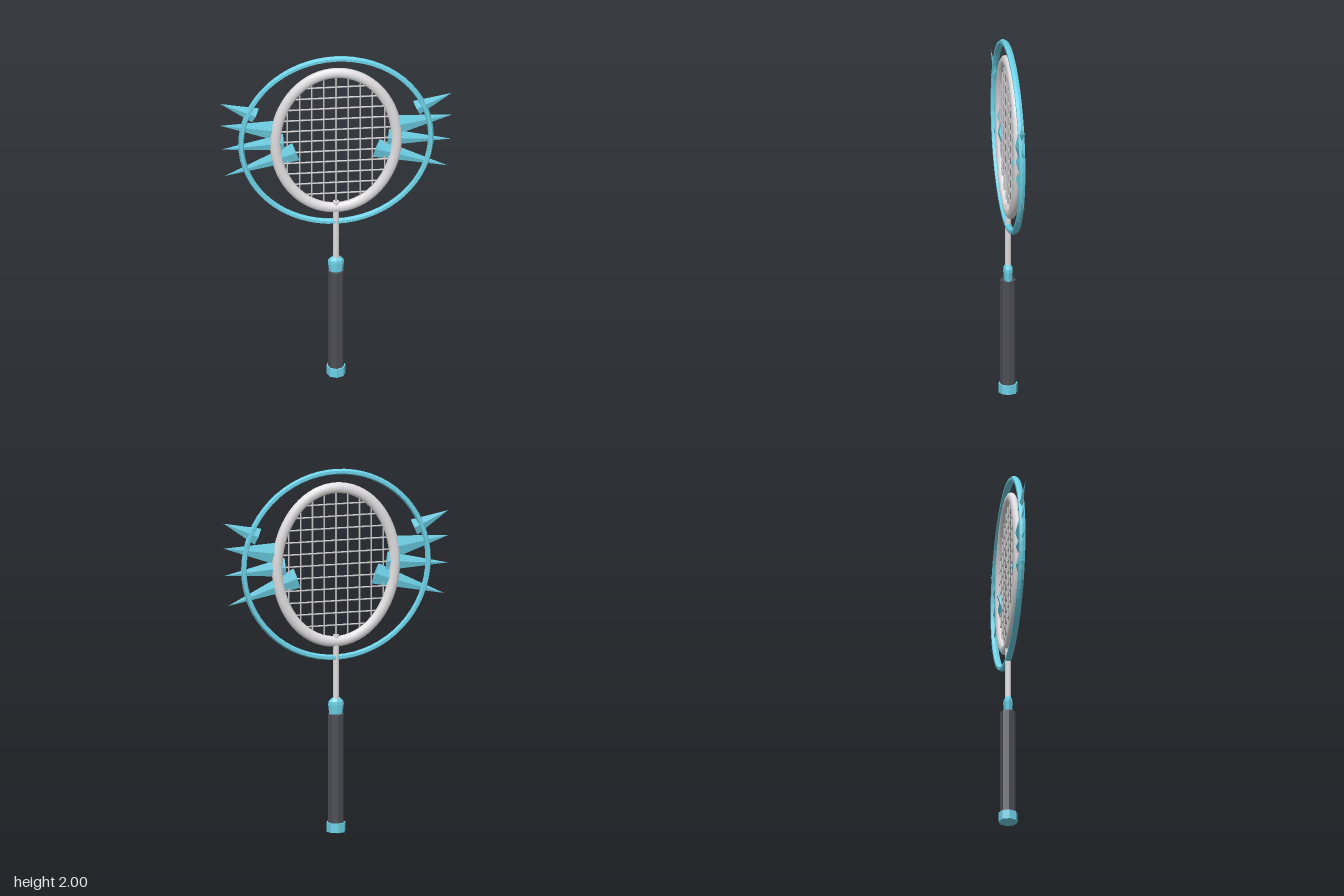
import * as THREE from 'three';

const material = (name, color, extra = {}) => {
  const m = new THREE.MeshStandardMaterial({ color, ...extra });
  m.name = name;
  return m;
};

export function createModel() {
  const group = new THREE.Group();
  const blue = material('sky blue', 0x70d8ee, { flatShading: true });
  const silver = material('silver', 0xe0dee0);
  const stringGrey = material('string grey', 0xcfcdcf);
  const dark = material('dark grip', 0x4d4d56, { flatShading: true });

  const add = (name, geometry, mat, x = 0, y = 0, z = 0, parent = group) => {
    const mesh = new THREE.Mesh(geometry, mat);
    mesh.name = name;
    mesh.position.set(x, y, z);
    parent.add(mesh);
    return mesh;
  };

  // Octagonal grip with its end cap
  add('endCap', new THREE.CylinderGeometry(0.052, 0.052, 0.052, 8), blue, 0, 0.026);
  add('grip', new THREE.CylinderGeometry(0.044, 0.044, 0.6, 8), dark, 0, 0.348);

  // Faceted collar, flattened front to back
  const collarProfile = [[0, 0.645], [0.037, 0.645], [0.044, 0.7], [0.042, 0.718], [0.024, 0.737], [0, 0.737]]
    .map(([r, y]) => new THREE.Vector2(r, y));
  add('collar', new THREE.LatheGeometry(collarProfile, 8), blue).scale.z = 0.6;

  // Shaft, running up through the bottom of the frame
  add('shaft', new THREE.CylinderGeometry(0.017, 0.017, 0.37, 12), silver, 0, 0.9);

  // Oval frame: constant-width tube around an ellipse, slightly flattened
  const CY = 1.472, RX = 0.327, RY = 0.424;
  const oval = new THREE.CatmullRomCurve3(
    Array.from({ length: 32 }, (_, i) => {
      const a = (i / 32) * Math.PI * 2;
      return new THREE.Vector3(RX * Math.cos(a), RY * Math.sin(a), 0);
    }), true);
  add('frame', new THREE.TubeGeometry(oval, 80, 0.03, 12, true), silver, 0, CY).scale.z = 0.73;

  // Strings, cut to the length of the oval
  const strings = new THREE.Group();
  strings.name = 'strings';
  group.add(strings);
  const S = 0.0046;
  for (let i = -4; i <= 4; i++) {
    const x = i * 0.0655;
    const length = 2 * (RY - 0.02) * Math.sqrt(1 - (x / RX) ** 2);
    add('verticalString', new THREE.CylinderGeometry(S, S, length, 6), stringGrey, x, CY, 0, strings);
  }
  for (let i = -5; i <= 5; i++) {
    const y = i * 0.0668;
    const length = 2 * (RX - 0.01) * Math.sqrt(1 - (y / RY) ** 2);
    add('horizontalString', new THREE.CylinderGeometry(S, S, length, 6), stringGrey, 0, CY + y, 0, strings)
      .rotation.z = Math.PI / 2;
  }

  // Thin outer hoop
  add('outerRing', new THREE.TorusGeometry(0.512, 0.0155, 6, 64), blue, 0, 1.4725).scale.z = 1.2;

  // Flat spikes fanned out on both sides: base x, y, tip x, y, half width
  const spikes = [
    [0.434, 1.652, 0.625, 1.735, 0.047],
    [0.325, 1.552, 0.625, 1.597, 0.062],
    [0.282, 1.475, 0.622, 1.446, 0.052],
    [0.217, 1.41, 0.602, 1.278, 0.058],
  ];
  for (const side of [1, -1]) {
    for (const [bx, by, tx, ty, half] of spikes) {
      const dx = side * (tx - bx), dy = ty - by;
      const spike = add('spike', new THREE.ConeGeometry(half, Math.hypot(dx, dy), 4), blue,
        side * (bx + tx) / 2, (by + ty) / 2);
      spike.rotation.z = Math.atan2(dy, dx) - Math.PI / 2;
      spike.scale.z = 0.014 / half;
    }
  }
  return group;
}
